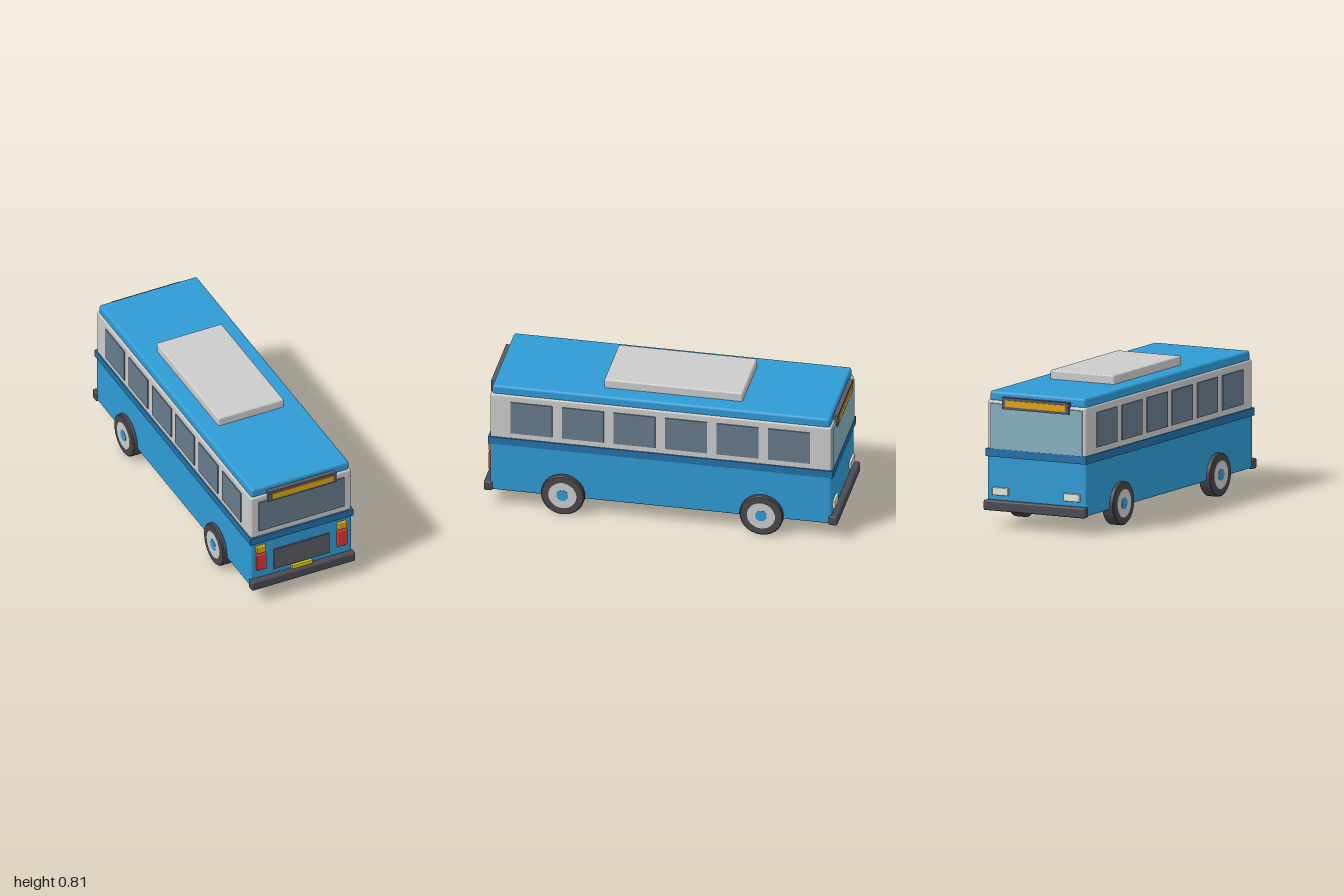
import * as THREE from 'three';
import { RoundedBoxGeometry } from 'three/addons/geometries/RoundedBoxGeometry.js';

const paint = (color) => new THREE.MeshStandardMaterial({ color });
const MAT = {
  blue: paint(0x2f9bd4), belt: paint(0x2370a8), white: paint(0xdddfe1),
  glass: paint(0x667a8a), windshield: paint(0x88b0c0), dark: paint(0x4a4a52),
  grille: paint(0x5a5a64), amber: paint(0xe0a510), red: paint(0xdc3535),
  yellow: paint(0xe0d010), lamp: paint(0xe6e4d8), tyre: paint(0x48484c),
};

export function createModel() {
  const bus = new THREE.Group();
  bus.name = 'bus';

  // Box given by its extents; a radius rounds the edges
  function box(name, mat, [x0, x1], [y0, y1], [z0, z1], radius = 0, parent = bus) {
    const size = [x1 - x0, y1 - y0, z1 - z0];
    const geo = radius ? new RoundedBoxGeometry(...size, 3, radius) : new THREE.BoxGeometry(...size);
    const mesh = new THREE.Mesh(geo, mat);
    mesh.name = name;
    mesh.position.set((x0 + x1) / 2, (y0 + y1) / 2, (z0 + z1) / 2);
    parent.add(mesh);
    return mesh;
  }

  // Body shell
  box('lowerBody', MAT.blue, [-0.312, 0.312], [0.1, 0.43], [-0.965, 0.965], 0.012);
  box('upperBody', MAT.white, [-0.31, 0.31], [0.4, 0.71], [-0.965, 0.965], 0.012);
  box('beltStripe', MAT.belt, [-0.317, 0.317], [0.395, 0.439], [-0.975, 0.975]);
  box('roof', MAT.blue, [-0.302, 0.302], [0.7, 0.76], [-0.955, 0.955], 0.015);
  box('roofUnit', MAT.white, [-0.202, 0.202], [0.75, 0.811], [-0.44, 0.342], 0.01);

  // Six windows on each side
  for (const side of [1, -1]) {
    for (let i = 0; i < 6; i++) {
      const z = 0.731 - i * 0.2916;
      const window = box('sideWindow', MAT.glass, [0.3, 0.316], [0.473, 0.669], [z - 0.118, z + 0.118]);
      window.position.x *= side;
    }
  }

  // Bumper and sign at both ends
  for (const end of [1, -1]) {
    const group = new THREE.Group();
    group.name = end > 0 ? 'frontEnd' : 'backEnd';
    box('bumper', MAT.dark, [-0.32, 0.32], [0.095, 0.153], [0.95, 1], 0.01, group);
    box('signFrame', MAT.grille, [-0.21, 0.21], [0.667, 0.733], [0.945, 0.981], 0, group);
    box('signPanel', MAT.amber, [-0.188, 0.188], [0.682, 0.718], [0.97, 0.986], 0, group);
    group.rotation.y = end > 0 ? 0 : Math.PI;
    bus.add(group);
  }

  // Front end: window, grille, plate and lamp clusters
  box('frontWindow', MAT.glass, [-0.263, 0.263], [0.474, 0.672], [0.95, 0.972]);
  box('grille', MAT.grille, [-0.172, 0.172], [0.185, 0.318], [0.95, 0.974]);
  box('plate', MAT.yellow, [-0.062, 0.062], [0.154, 0.176], [0.95, 0.981]);
  for (const side of [1, -1]) {
    const amber = box('amberLamp', MAT.amber, [0.222, 0.278], [0.325, 0.372], [0.95, 0.981], 0.005);
    const red = box('redLamp', MAT.red, [0.219, 0.28], [0.209, 0.315], [0.95, 0.981], 0.005);
    const lamp = box('headlamp', MAT.lamp, [0.175, 0.275], [0.18, 0.224], [-0.979, -0.95], 0.004);
    for (const mesh of [amber, red, lamp]) mesh.position.x *= side;
  }

  // Back end: wide windshield
  box('windshield', MAT.windshield, [-0.288, 0.288], [0.435, 0.693], [-0.973, -0.95]);

  // Wheels: tyre, rim and hub cap about the x axis
  const bevel = 0.006;
  const tyreProfile = [[0.07, -0.037], [0.117, -0.037], [0.123, -0.037 + bevel],
    [0.123, 0.037 - bevel], [0.117, 0.037], [0.07, 0.037]].map(([r, h]) => new THREE.Vector2(r, h));
  const tyreGeo = new THREE.LatheGeometry(tyreProfile, 28).toNonIndexed();
  tyreGeo.computeVertexNormals();
  const rimGeo = new THREE.CylinderGeometry(0.08, 0.08, 0.078, 28);
  const capGeo = new THREE.CylinderGeometry(0.033, 0.033, 0.082, 20);
  for (const side of [1, -1]) {
    for (const z of [0.55, -0.573]) {
      const wheel = new THREE.Group();
      wheel.name = 'wheel';
      for (const [name, geo, mat] of [['tyre', tyreGeo, MAT.tyre], ['rim', rimGeo, MAT.white], ['hubCap', capGeo, MAT.blue]]) {
        const mesh = new THREE.Mesh(geo, mat);
        mesh.name = name;
        wheel.add(mesh);
      }
      wheel.rotation.z = -side * Math.PI / 2;
      wheel.position.set(side * 0.3, 0.123, z);
      bus.add(wheel);
    }
  }
  return bus;
}
